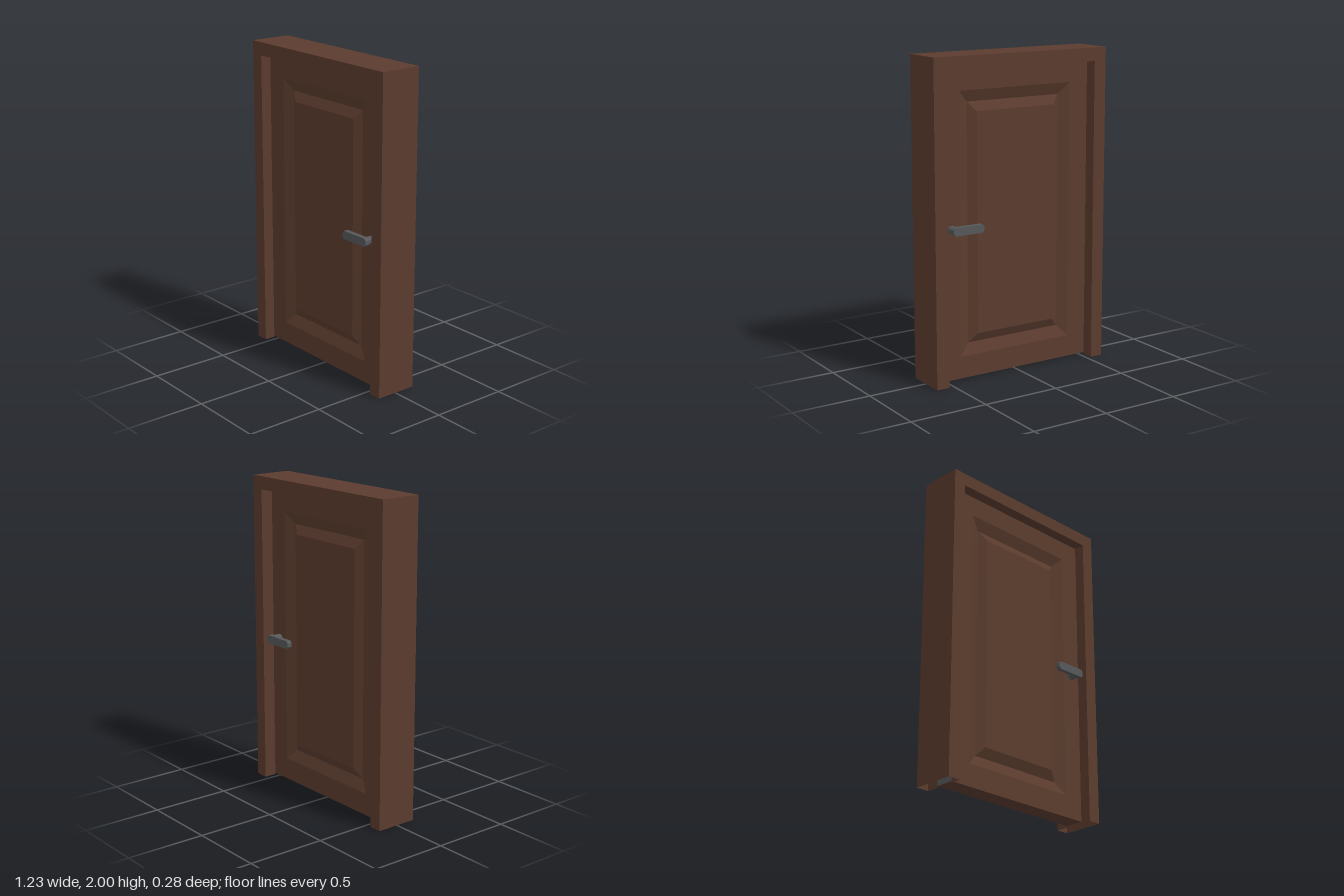
import * as THREE from 'three';

const W = 0.617, H = 2, IW = 0.533, IH = 1.917; // frame outer and opening sizes
const FRONT = 0.13, BACK = -0.14, DOOR = 0.06, GAP = 0.01;

const wood = new THREE.MeshStandardMaterial({ color: 0x5b3c2e, side: THREE.DoubleSide });
wood.name = 'brown wood';
const metal = new THREE.MeshStandardMaterial({ color: 0x56585a, side: THREE.DoubleSide });
metal.name = 'grey metal';

function mesh(name, geometry, material) {
  const m = new THREE.Mesh(geometry, material);
  m.name = name;
  return m;
}

// Flat-shaded geometry from a list of quads (counter-clockwise corners)
function quads(list) {
  const pos = [];
  for (const [a, b, c, d] of list) pos.push(...a, ...b, ...c, ...a, ...c, ...d);
  const g = new THREE.BufferGeometry();
  g.setAttribute('position', new THREE.Float32BufferAttribute(pos, 3));
  g.computeVertexNormals();
  return g;
}

// Upside-down U path: up the left side, across, down the right side
const arch = (w, h, y0 = 0) => [[-w, y0], [-w, h], [w, h], [w, y0]];

// Strip following an arch; faces outward, or inward when flipped
function wall(path, z0, z1, inward) {
  const list = [];
  for (let i = 0; i < path.length - 1; i++) {
    const [p, q] = [path[i], path[i + 1]];
    const quad = [[...p, z0], [...p, z1], [...q, z1], [...q, z0]];
    list.push(inward ? quad.reverse() : quad);
  }
  return quads(list);
}

function frameFace() {
  const points = [...arch(W, H), ...arch(IW, IH).reverse()];
  return new THREE.ShapeGeometry(new THREE.Shape(points.map(p => new THREE.Vector2(...p))));
}

// Door face from nested rectangles: stile, sloped recess, raised field
function panelFace() {
  const rings = [
    [IW, GAP, IH, DOOR],
    [0.4, 0.15, 1.787, DOOR],
    [0.33, 0.222, 1.715, DOOR - 0.03],
    [0.278, 0.28, 1.657, DOOR],
  ].map(([w, y0, y1, z]) => [[-w, y0, z], [w, y0, z], [w, y1, z], [-w, y1, z]]);
  const list = [rings[3]];
  for (let r = 0; r < 3; r++) {
    for (let i = 0; i < 4; i++) {
      const j = (i + 1) % 4;
      list.push([rings[r][i], rings[r][j], rings[r + 1][j], rings[r + 1][i]]);
    }
  }
  return quads(list);
}

// Lever handle with chamfered ends on a short stem
function handle(name, side) {
  const g = new THREE.Group();
  g.name = name;
  const x0 = 0.278, x1 = 0.49, y0 = 0.933, y1 = 0.985, c = 0.013, t = 0.03;
  const outline = [
    [x0 + c, y0], [x1 - c, y0], [x1, y0 + c], [x1, y1 - c],
    [x1 - c, y1], [x0 + c, y1], [x0, y1 - c], [x0, y0 + c],
  ].map(p => new THREE.Vector2(...p));
  const lever = new THREE.ExtrudeGeometry(new THREE.Shape(outline), { depth: t, bevelEnabled: false });
  lever.translate(0, 0, side > 0 ? 0.14 - t : -0.14);
  g.add(mesh('lever', lever, metal));

  const length = 0.14 - t - DOOR;
  const stem = new THREE.CylinderGeometry(0.025, 0.025, length, 8).toNonIndexed();
  stem.rotateY(Math.PI / 8);
  stem.rotateX(Math.PI / 2);
  stem.computeVertexNormals();
  stem.translate(0.463, 0.959, side * (DOOR + length / 2));
  g.add(mesh('stem', stem, metal));
  return g;
}

export function createModel() {
  const model = new THREE.Group();
  model.name = 'door';

  // Hollow frame, open underneath, with a slot that holds the door
  const frame = new THREE.Group();
  frame.name = 'frame';
  const front = mesh('frameFront', frameFace(), wood);
  front.position.z = FRONT;
  const back = mesh('frameBack', frameFace(), wood);
  back.rotation.y = Math.PI;
  back.position.z = BACK;
  frame.add(front, back);
  frame.add(mesh('frameOuter', wall(arch(W, H), BACK, FRONT, false), wood));
  frame.add(mesh('frontReveal', wall(arch(IW, IH), DOOR, FRONT, true), wood));
  frame.add(mesh('backReveal', wall(arch(IW, IH), BACK, -DOOR, true), wood));

  // Door leaf, panelled on both sides
  const leaf = new THREE.Group();
  leaf.name = 'doorLeaf';
  const leafBack = mesh('leafBack', panelFace(), wood);
  leafBack.rotation.y = Math.PI;
  leaf.add(mesh('leafFront', panelFace(), wood), leafBack);
  leaf.add(mesh('leafEdge', wall(arch(IW, IH, GAP), -DOOR, DOOR, false), metal));
  leaf.add(mesh('leafBottom', quads([[
    [-IW, GAP, -DOOR], [IW, GAP, -DOOR], [IW, GAP, DOOR], [-IW, GAP, DOOR],
  ]]), wood));

  model.add(frame, leaf, handle('frontHandle', 1), handle('backHandle', -1));
  return model;
}
